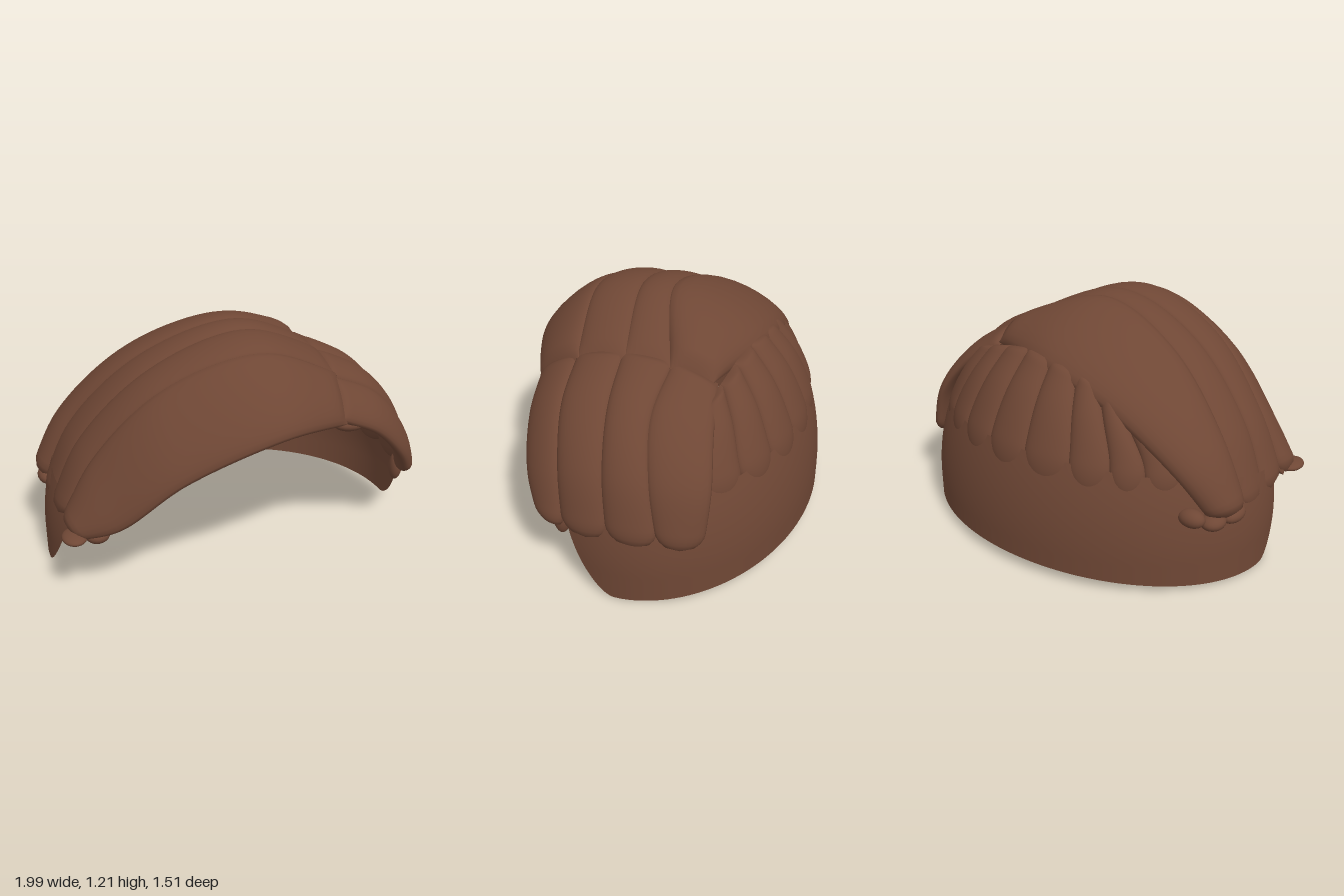
import * as THREE from 'three';

const V = (a) => new THREE.Vector3(...a);
const CENTRE = new THREE.Vector3(0, 0.2, 0);

// Radius factor of the domed head form at a height
const dome = (y) => Math.sqrt(1 - (Math.max(0, y - 0.15) / 1.03) ** 2);

// Builds a grid surface; wrap closes the second index
function gridGeometry(rows, wrap) {
  const pos = [], idx = [], m = rows[0].length, cols = wrap ? m : m - 1;
  rows.forEach((r) => r.forEach((p) => pos.push(p.x, p.y, p.z)));
  for (let i = 0; i < rows.length - 1; i++) {
    for (let j = 0; j < cols; j++) {
      const a = i * m + j, b = i * m + (j + 1) % m, c = a + m, d = b + m;
      idx.push(a, b, c, b, d, c);
    }
  }
  const g = new THREE.BufferGeometry();
  g.setAttribute('position', new THREE.Float32BufferAttribute(pos, 3));
  g.setIndex(idx);
  g.computeVertexNormals();
  return g;
}

// Puffy lock of hair between two edge curves, closed at the root, rounded at the tip
function lockGeometry(edgeA, edgeB, outer, inner, tip) {
  let a = new THREE.CatmullRomCurve3(edgeA.map(V));
  let b = new THREE.CatmullRomCurve3(edgeB.map(V));
  const frame = (t) => {
    const p = a.getPoint(t), q = b.getPoint(t);
    const mid = p.clone().add(q).multiplyScalar(0.5);
    const tan = a.getTangent(t).add(b.getTangent(t));
    const half = q.sub(p).multiplyScalar(0.53);
    return { mid, half, n: half.clone().cross(tan).normalize() };
  };
  const f0 = frame(0.5);
  if (f0.n.dot(f0.mid.clone().sub(CENTRE)) < 0) [a, b] = [b, a];
  const rows = [], N = 40, M = 24;
  for (let i = 0; i <= N; i++) {
    const t = i / N, f = frame(t);
    const end = Math.sqrt(Math.max(0, 1 - (Math.max(0, t - 1 + tip) / tip) ** 2));
    const root = Math.sqrt(1 - (Math.max(0, 0.08 - t) / 0.08) ** 2);
    const row = [];
    for (let j = 0; j < M; j++) {
      const ang = (j / M) * Math.PI * 2, s = Math.sin(ang);
      row.push(f.mid.clone()
        .addScaledVector(f.half, -Math.cos(ang) * end)
        .addScaledVector(f.n, s * (s > 0 ? outer : inner) * end * root));
    }
    rows.push(row);
  }
  return gridGeometry(rows, true);
}

// Close-cropped shell around the back and sides, lower at the sides
function shellGeometry() {
  const rows = [];
  for (let i = 0; i <= 30; i++) {
    const row = [], v = i / 30;
    for (let j = 0; j <= 72; j++) {
      const u = j / 36 - 1;
      const back = Math.max(0, Math.cos(u * Math.PI / 2));
      const y0 = v * v * (0.4 + 0.2 * back) + v * 0.02;
      const sweep = Math.PI / 2 + Math.min(0.5, 0.02 + 0.4 * (y0 / 0.4) ** 0.6);
      const th = u * sweep;
      const y = y0 + 0.06 * Math.max(0, Math.cos(th)) ** 1.2 * (1 - v);
      const r = dome(y) * 0.995;
      row.push(new THREE.Vector3(Math.sin(th) * r, y, -0.76 * Math.cos(th) * r));
    }
    rows.push(row);
  }
  return gridGeometry(rows, false);
}

export function createModel() {
  const group = new THREE.Group();
  const hair = new THREE.MeshStandardMaterial({ color: 0x6f4735, side: THREE.DoubleSide });
  hair.name = 'brown hair';
  const add = (name, geometry) => {
    const mesh = new THREE.Mesh(geometry, hair);
    mesh.name = name;
    group.add(mesh);
    return mesh;
  };

  add('croppedShell', shellGeometry());

  // Long bands combed from the parting to the right side, front to back
  const bands = [
    [[0.4, 0.8, 0.61], [0, 0.84, 0.74], [-0.45, 0.67, 0.68], [-0.74, 0.43, 0.57], [-0.93, 0.34, 0.45]],
    [[0.45, 0.96, 0.38], [0, 1.14, 0.44], [-0.45, 1.0, 0.38], [-0.78, 0.67, 0.3], [-0.95, 0.35, 0.27]],
    [[0.46, 1.01, 0.13], [0, 1.18, 0.2], [-0.45, 1.03, 0.17], [-0.8, 0.69, 0.1], [-0.96, 0.34, 0.06]],
    [[0.46, 1.0, -0.1], [0, 1.18, 0.03], [-0.45, 1.03, -0.03], [-0.8, 0.69, -0.12], [-0.96, 0.35, -0.14]],
    [[0.44, 0.95, -0.3], [0, 0.96, -0.44], [-0.4, 0.85, -0.46], [-0.75, 0.6, -0.42], [-0.92, 0.37, -0.34]],
  ];
  const bandOuter = [0.06, 0.04, 0.035, 0.085];
  const bandInner = [0.01, 0.045, 0.045, 0.04];
  for (let i = 0; i < 4; i++) {
    add('sweptBand' + (i + 1), lockGeometry(bands[i], bands[i + 1], bandOuter[i], bandInner[i], 0.06));
  }

  // Two rolled strands beneath the wide front band
  const middle = bands[0].map((p, k) => V(p).lerp(V(bands[1][k]), 0.5).toArray());
  add('frontUnderStrand', lockGeometry(bands[0], middle, 0.02, 0.05, 0.06));
  add('rearUnderStrand', lockGeometry(middle, bands[1], 0.02, 0.05, 0.06));

  // Shorter locks falling from the parting down the left side
  const sides = [
    [[0.36, 0.82, 0.6], [0.6, 0.7, 0.57], [0.79, 0.51, 0.51], [0.9, 0.33, 0.42]],
    [[0.39, 0.96, 0.39], [0.66, 0.83, 0.37], [0.85, 0.61, 0.32], [0.95, 0.31, 0.27]],
    [[0.4, 1.02, 0.15], [0.68, 0.87, 0.13], [0.87, 0.64, 0.09], [0.97, 0.32, 0.04]],
    [[0.4, 1.01, -0.1], [0.68, 0.86, -0.08], [0.86, 0.64, -0.13], [0.95, 0.32, -0.2]],
    [[0.42, 0.94, -0.32], [0.64, 0.8, -0.36], [0.8, 0.6, -0.4], [0.88, 0.31, -0.39]],
  ];
  for (let i = 0; i < 4; i++) {
    add('sideLock' + (i + 1), lockGeometry(sides[i], sides[i + 1], 0.05, 0.045, 0.1));
  }

  // Locks fanning out from under the crown, rising to the parting on the left
  const backX = [-0.92, -0.8, -0.66, -0.51, -0.31, -0.05, 0.2, 0.43, 0.63, 0.8];
  const backEdge = (xb) => [0, 0.33, 0.67, 1].map((t) => {
    const [spread, rise, drop] = xb > 0 ? [0.7, 1.02, 0.4] : [0.6, 1, 0.6];
    const x = xb * (spread + (1 - spread) * Math.sin(t * Math.PI / 2));
    const top = rise - drop * (xb * spread) ** 2;
    const y = top + (0.48 - top) * t;
    const z = -0.76 * Math.sqrt(Math.max(0.01, dome(y) ** 2 - x * x));
    return [x * 0.96, y, z * 0.96];
  });
  for (let i = 0; i < backX.length - 1; i++) {
    add('backLock' + (i + 1), lockGeometry(backEdge(backX[i]), backEdge(backX[i + 1]), 0.045, 0.045, 0.28));
  }

  // Small curled tips: position, then radii
  const tips = [
    [-0.93, 0.355, 0.44, 0.06, 0.025, 0.08], [-0.82, 0.345, 0.44, 0.06, 0.04, 0.06],
    [-0.94, 0.37, -0.2, 0.05, 0.04, 0.08], [-0.9, 0.37, -0.32, 0.06, 0.04, 0.07],
    [-0.83, 0.4, -0.4, 0.07, 0.045, 0.05], [0.89, 0.33, 0.31, 0.035, 0.08, 0.04],
    [0.46, 0.76, 0.53, 0.09, 0.04, 0.06],
  ];
  tips.forEach(([x, y, z, rx, ry, rz], i) => {
    const m = add('curledTip' + (i + 1), new THREE.SphereGeometry(1, 20, 14));
    m.position.set(x, y, z);
    m.scale.set(rx, ry, rz);
  });

  return group;
}
